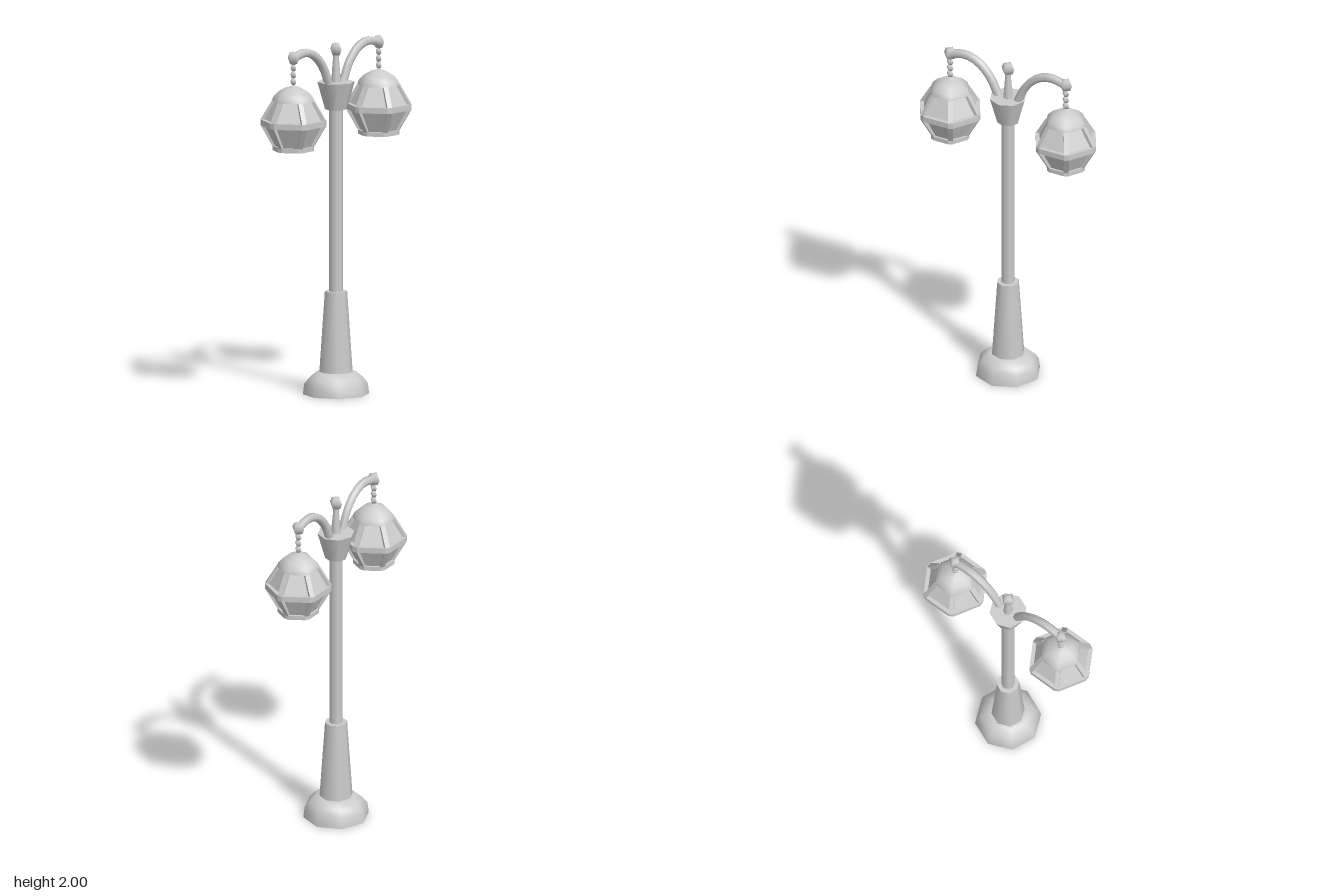
import * as THREE from 'three';

const smooth = new THREE.MeshStandardMaterial({ color: 0xcccccc });
const open = new THREE.MeshStandardMaterial({ color: 0xcccccc, side: THREE.DoubleSide });
const flat = new THREE.MeshStandardMaterial({ color: 0xcccccc, flatShading: true });

function add(parent, name, geometry, material, x = 0, y = 0, z = 0) {
  const mesh = new THREE.Mesh(geometry, material);
  mesh.name = name;
  mesh.position.set(x, y, z);
  parent.add(mesh);
  return mesh;
}

// Tapered prism standing between two heights
function column(parent, name, r0, y0, r1, y1, sides = 8, material = smooth) {
  const geometry = new THREE.CylinderGeometry(r1, r0, y1 - y0, sides);
  return add(parent, name, geometry, material, 0, (y0 + y1) / 2, 0);
}

const lathe = (points, sides) =>
  new THREE.LatheGeometry(points.map(([r, y]) => new THREE.Vector2(r, y)), sides);

// Low-poly bead: four sides around, octagonal in profile
const bead = (r) => new THREE.SphereGeometry(r, 4, 4);

const BAR = 0.014; // half width of the lantern bars

// Horizontal hexagonal plate with its corners cut to the bar width
function hexPlate(parent, name, r, y0, y1) {
  const points = [];
  for (let k = 0; k < 6; k++) {
    for (const side of [-BAR, BAR]) {
      points.push(new THREE.Vector2(r, side).rotateAround(new THREE.Vector2(), k * Math.PI / 3));
    }
  }
  const geometry = new THREE.ExtrudeGeometry(new THREE.Shape(points), { depth: y1 - y0, bevelEnabled: false });
  geometry.rotateX(-Math.PI / 2);
  add(parent, name, geometry, flat, 0, y0, 0);
}

// Six sloping corner bars whose outer faces run from (r0, y0) to (r1, y1)
function cornerBars(parent, name, r0, y0, r1, y1) {
  const depth = 0.022;
  const geometry = new THREE.BoxGeometry(depth, Math.hypot(r1 - r0, y1 - y0), BAR * 2);
  geometry.translate(-depth / 2, 0, 0);
  geometry.rotateZ(-Math.atan2(r1 - r0, y1 - y0));
  geometry.translate((r0 + r1) / 2, (y0 + y1) / 2, 0);
  for (let k = 0; k < 6; k++) add(parent, name, geometry, flat).rotation.y = k * Math.PI / 3;
}

function createLantern() {
  const lantern = new THREE.Group();
  lantern.name = 'lantern';

  // Ball joint and hanging chain
  add(lantern, 'armBall', bead(0.04), smooth, 0, 1.955, 0);
  for (let i = 0; i < 3; i++) add(lantern, 'chainBead', bead(0.021), smooth, 0, 1.9 - i * 0.039, 0);

  // Domed hexagonal roof
  const dome = lathe([[0.122, 1.712], [0.113, 1.737], [0.085, 1.766], [0.045, 1.789], [0, 1.802]], 6);
  add(lantern, 'roof', dome, open).rotation.y = Math.PI / 6;

  // Recessed glass, upper and lower
  column(lantern, 'upperGlass', 0.172, 1.6, 0.11, 1.713, 6, flat).rotation.y = Math.PI / 6;
  column(lantern, 'lowerGlass', 0.106, 1.45, 0.172, 1.578, 6, flat).rotation.y = Math.PI / 6;

  // Frame
  cornerBars(lantern, 'upperBar', 0.185, 1.605, 0.12, 1.715);
  cornerBars(lantern, 'lowerBar', 0.117, 1.455, 0.185, 1.573);
  hexPlate(lantern, 'middleHoop', 0.186, 1.573, 1.606);
  hexPlate(lantern, 'bottomPlate', 0.116, 1.432, 1.457);
  return lantern;
}

export function createModel() {
  const model = new THREE.Group();
  model.name = 'streetLamp';

  // Hollow foot, pedestal and pole
  const foot = lathe([[0.187, 0], [0.179, 0.06], [0.152, 0.095], [0.115, 0.127], [0.085, 0.127]], 8);
  add(model, 'foot', foot, open);
  column(model, 'pedestal', 0.094, 0.125, 0.063, 0.585);
  column(model, 'pole', 0.038, 0.58, 0.038, 1.63);

  // Flared cup with finial
  column(model, 'cup', 0.062, 1.62, 0.105, 1.775);
  column(model, 'finialStem', 0.028, 1.77, 0.015, 1.93);
  add(model, 'finialBall', bead(0.041), smooth, 0, 1.959, 0);

  // Curved arms, each carrying a lantern
  for (const side of [1, -1]) {
    const path = new THREE.CatmullRomCurve3([
      [0.062, 1.765], [0.11, 1.867], [0.185, 1.945], [0.265, 1.974], [0.333, 1.965], [0.372, 1.953],
    ].map(([x, y]) => new THREE.Vector3(side * x, y, 0)));
    add(model, 'arm', new THREE.TubeGeometry(path, 10, 0.025, 6), smooth);

    const lantern = createLantern();
    lantern.position.x = side * 0.371;
    model.add(lantern);
  }
  return model;
}
